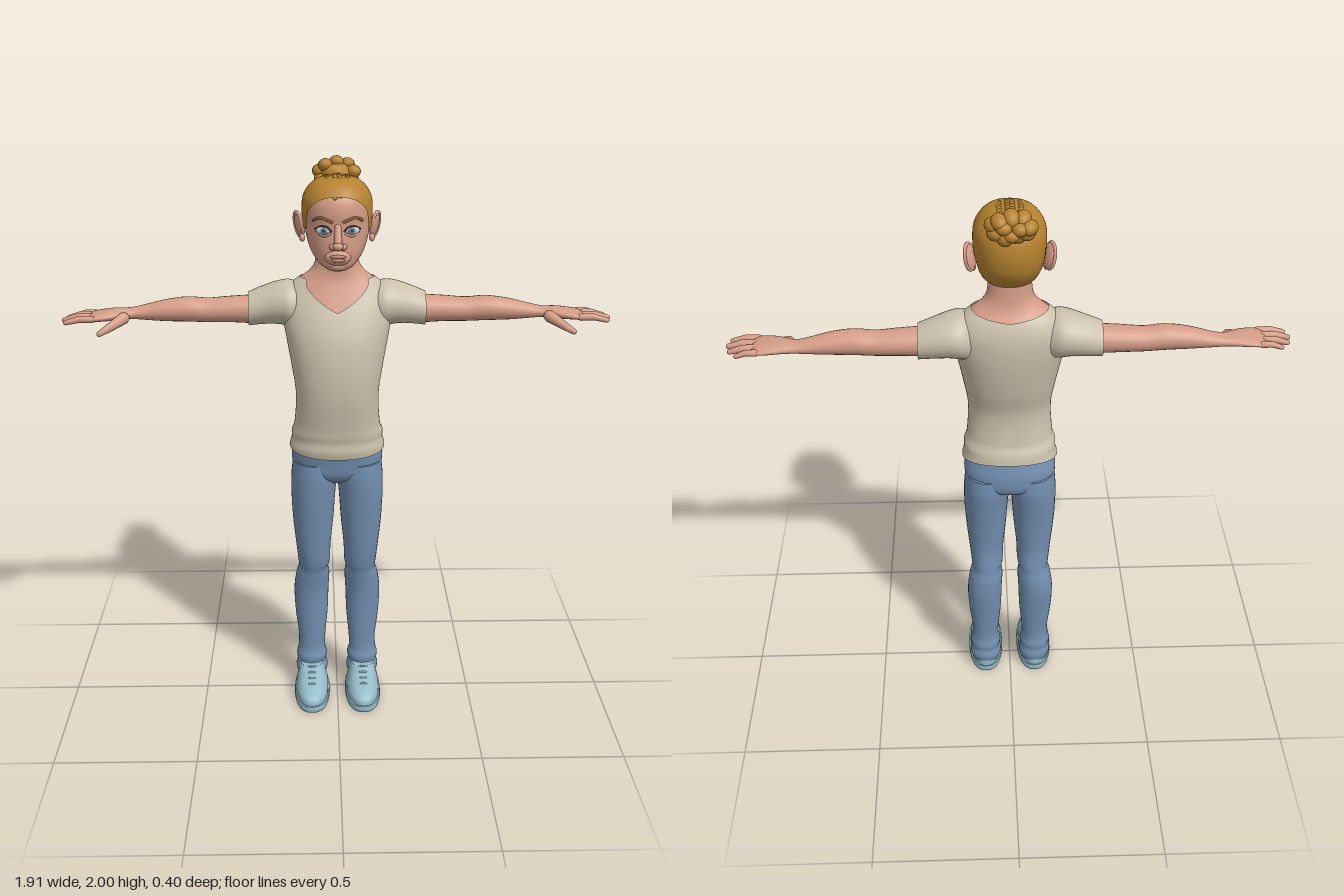
import * as THREE from 'three';
import { mergeGeometries } from 'three/addons/utils/BufferGeometryUtils.js';

const V = (x, y, z) => new THREE.Vector3(x, y, z);
const colour = (name, hex, open) => {
  const m = new THREE.MeshStandardMaterial({ color: hex });
  m.name = name;
  if (open) m.side = THREE.DoubleSide;
  return m;
};

// Smoothly interpolates rows [t, uMin, uMax, vMin, vMax]
function sample(rows, t) {
  const last = rows.length - 1;
  t = Math.min(Math.max(t, rows[0][0]), rows[last][0]);
  let i = 0;
  while (i < last - 1 && t > rows[i + 1][0]) i++;
  const h = rows[i + 1][0] - rows[i][0], s = (t - rows[i][0]) / h;
  const slope = (k, c) => {
    const p = rows[Math.max(k - 1, 0)], q = rows[Math.min(k + 1, last)];
    return (q[c] - p[c]) / (q[0] - p[0]);
  };
  return [1, 2, 3, 4].map((c) =>
    (1 + 2 * s) * (1 - s) ** 2 * rows[i][c] + s * (1 - s) ** 2 * h * slope(i, c) +
    s * s * (3 - 2 * s) * rows[i + 1][c] + s * s * (s - 1) * h * slope(i + 1, c));
}

// Superellipse sections along y (u = x, v = z) or along x (u = z, v = y)
function loft(axis, rows, { lo, hi, pad = 0, n = 32, m = 40, e = 2, cap = true } = {}) {
  const pos = [], idx = [];
  const put = (t, u, v) => (axis === 'y' ? pos.push(u, t, v) : pos.push(t, v, u));
  const power = (w) => Math.sign(w) * Math.abs(w) ** (2 / e);
  const t0 = rows[0][0], t1 = rows[rows.length - 1][0];
  const ring = (j) => {
    for (let i = 0; i < n; i++) {
      const a = (i / n) * Math.PI * 2;
      const from = lo ? lo(a) : t0, to = hi ? hi(a) : t1;
      const t = from + ((to - from) * j) / m;
      const [u0, u1, v0, v1] = sample(rows, t);
      put(t, (u0 + u1) / 2 + ((u1 - u0) / 2 + pad) * power(Math.cos(a)),
        (v0 + v1) / 2 + ((v1 - v0) / 2 + pad) * power(Math.sin(a)));
    }
  };
  for (let j = 0; j <= m; j++) ring(j);
  for (let j = 0; j < m; j++) for (let i = 0; i < n; i++) {
    const a = j * n + i, b = j * n + ((i + 1) % n);
    idx.push(a, a + n, b, b, a + n, b + n);
  }
  if (cap) for (const j of [0, m]) {
    const base = pos.length / 3, t = j ? t1 : t0, [u0, u1, v0, v1] = sample(rows, t);
    ring(j);
    put(t, (u0 + u1) / 2, (v0 + v1) / 2);
    for (let i = 0; i < n; i++) {
      const a = base + i, b = base + ((i + 1) % n);
      idx.push(base + n, j ? b : a, j ? a : b);
    }
  }
  const g = new THREE.BufferGeometry();
  g.setAttribute('position', new THREE.Float32BufferAttribute(pos, 3));
  g.setIndex(idx);
  g.computeVertexNormals();
  return g;
}

const ball = (p, sx, sy, sz, q, w = 14, h = 10) => {
  const g = new THREE.SphereGeometry(1, w, h).scale(sx, sy, sz);
  if (q) g.applyQuaternion(q);
  return g.translate(p.x, p.y, p.z);
};
const turn = (from, dir) => new THREE.Quaternion().setFromUnitVectors(from, dir.clone().normalize());

// Tapered round-ended rod
function limb(a, b, r1, r2) {
  const d = b.clone().sub(a), L = d.length();
  const pts = [[0, -r1], [0.7 * r1, -0.7 * r1], [r1, 0], [r2, L], [0.7 * r2, L + 0.7 * r2], [0, L + r2]];
  return new THREE.LatheGeometry(pts.map((p) => new THREE.Vector2(...p)), 12)
    .applyQuaternion(turn(V(0, 1, 0), d)).translate(a.x, a.y, a.z);
}
const tube = (pts, r) => new THREE.TubeGeometry(new THREE.CatmullRomCurve3(pts), 14, r, 6);

function mirrored(g) {
  const r = g.clone().scale(-1, 1, 1), ix = r.index;
  for (let i = 0; i < ix.count; i += 3) {
    const k = ix.getX(i);
    ix.setX(i, ix.getX(i + 2));
    ix.setX(i + 2, k);
  }
  return r;
}

// Rows for symmetric body parts: [y, half width, back z, front z]
const sym = (rows) => rows.map(([y, w, b, f]) => [y, -w, w, b, f]);
const HEAD = sym([[1.652, 0.03, 0.045, 0.11], [1.665, 0.052, 0.015, 0.126], [1.69, 0.078, -0.06, 0.131],
  [1.72, 0.094, -0.1, 0.133], [1.76, 0.106, -0.13, 0.132], [1.8, 0.112, -0.142, 0.127], [1.84, 0.114, -0.145, 0.13],
  [1.88, 0.111, -0.138, 0.124], [1.91, 0.097, -0.12, 0.107], [1.935, 0.073, -0.09, 0.08], [1.948, 0.045, -0.055, 0.045],
  [1.953, 0.01, -0.012, 0.008]]);
const TORSO = sym([[0.965, 0.163, -0.118, 0.104], [1.0, 0.17, -0.126, 0.112], [1.03, 0.162, -0.124, 0.109],
  [1.055, 0.163, -0.118, 0.114], [1.08, 0.153, -0.106, 0.117], [1.2, 0.146, -0.095, 0.135], [1.3, 0.16, -0.118, 0.136],
  [1.4, 0.178, -0.136, 0.122], [1.47, 0.19, -0.142, 0.098], [1.53, 0.192, -0.138, 0.07], [1.58, 0.16, -0.122, 0.047],
  [1.605, 0.128, -0.106, 0.037], [1.63, 0.1, -0.096, 0.033]]);
const E = 2.2;
const faceZ = (x, y) => {
  const [, w, b, f] = sample(HEAD, y);
  return (b + f) / 2 + ((f - b) / 2) * (1 - (Math.abs(x) / w) ** E) ** (1 / E);
};

// Hairline height against sin(angle): -1 nape, 0 ear, 1 forehead
const LINE = [[-1, 1.7], [-0.45, 1.715], [-0.3, 1.79], [0.1, 1.82], [0.2, 1.785], [0.5, 1.79], [0.6, 1.85], [0.85, 1.885], [1, 1.9]];
const hairline = (a) => {
  const s = Math.sin(a);
  let i = 0;
  while (i < LINE.length - 2 && s > LINE[i + 1][0]) i++;
  const [p, q] = [LINE[i], LINE[i + 1]];
  return p[1] + ((q[1] - p[1]) * (s - p[0])) / (q[0] - p[0]);
};

export function createModel() {
  const root = new THREE.Group();
  const skin = colour('skin', 0xd49c86), lip = colour('lips', 0xb97c6c), hair = colour('hair', 0xb5822f, true);
  const brow = colour('brows', 0x8a5f3c), shirt = colour('shirt', 0xcbc1ac, true), denim = colour('denim', 0x728fb0);
  const shoe = colour('shoe', 0x95bcc9), white = colour('eyeWhite', 0xcfd6d8), iris = colour('iris', 0x6d8ea3);
  const dark = colour('dark', 0x34302f);
  const add = (name, g, mat) => {
    const mesh = new THREE.Mesh(g, mat);
    mesh.name = name;
    root.add(mesh);
  };
  const pair = (name, g, mat) => {
    add(name + 'Left', g, mat);
    add(name + 'Right', mirrored(g), mat);
  };

  // Shirt with V neck, hem lower at the front
  const hem = (a) => 0.995 - 0.022 * Math.sin(a);
  const neckline = (a) => {
    const c = Math.abs(Math.cos(a));
    return Math.sin(a) > 0 ? 1.5 + 0.105 * Math.min(1, c / 0.8) : 1.605 - 0.02 * (1 - c);
  };
  add('shirt', loft('y', TORSO, { lo: hem, hi: neckline, n: 64, m: 48, e: 2.25, cap: false }), shirt);
  pair('sleeve', loft('x', [[0.12, -0.11, 0.04, 1.42, 1.575], [0.16, -0.134, 0.054, 1.425, 1.59],
    [0.2, -0.138, 0.046, 1.434, 1.586], [0.26, -0.128, 0.028, 1.433, 1.566], [0.308, -0.116, 0.02, 1.428, 1.546]], { m: 20 }), shirt);

  // Chest and neck
  add('neck', loft('y', sym([[1.44, 0.176, -0.132, 0.102], [1.47, 0.184, -0.136, 0.092], [1.53, 0.186, -0.132, 0.064],
    [1.58, 0.154, -0.116, 0.041], [1.605, 0.122, -0.1, 0.032], [1.63, 0.092, -0.09, 0.029], [1.66, 0.076, -0.085, 0.029],
    [1.74, 0.072, -0.08, 0.03]]), { n: 64, e: 2.15 }), skin);

  // Arms and hands
  pair('arm', loft('x', [[0.25, -0.1, 0.01, 1.44, 1.535], [0.3, -0.1, 0.008, 1.437, 1.535], [0.38, -0.1, 0.004, 1.44, 1.53],
    [0.45, -0.095, 0, 1.44, 1.525], [0.52, -0.093, 0.002, 1.443, 1.53], [0.6, -0.088, -0.002, 1.445, 1.52],
    [0.68, -0.082, -0.013, 1.45, 1.5], [0.72, -0.08, -0.012, 1.453, 1.492], [0.77, -0.085, 0.012, 1.452, 1.492],
    [0.82, -0.09, 0.03, 1.452, 1.486], [0.85, -0.087, 0.031, 1.453, 1.48], [0.862, -0.08, 0.025, 1.458, 1.474]], { n: 24 }), skin);
  const digits = [[0.845, -0.076, 0.913, -0.08, 0.0105], [0.85, -0.045, 0.937, -0.049, 0.012],
    [0.85, -0.012, 0.946, -0.013, 0.0125], [0.845, 0.019, 0.936, 0.024, 0.012]];
  pair('fingers', mergeGeometries(digits.flatMap(([x0, z0, x1, z1, r]) => {
    const mid = V((x0 + x1) / 2, 1.468, (z0 + z1) / 2);
    return [limb(V(x0, 1.467, z0), mid, r + 0.001, r), limb(mid, V(x1, 1.457, z1), r, r * 0.75)];
  })), skin);
  pair('thumb', mergeGeometries([limb(V(0.74, 1.465, -0.005), V(0.785, 1.442, 0.036), 0.021, 0.015),
    limb(V(0.785, 1.442, 0.036), V(0.818, 1.424, 0.053), 0.015, 0.01)]), skin);

  // Jeans
  add('jeansHips', loft('y', sym([[0.86, 0.09, -0.08, 0.04], [0.89, 0.146, -0.122, 0.078], [0.95, 0.164, -0.131, 0.092],
    [1.0, 0.157, -0.122, 0.1], [1.04, 0.148, -0.112, 0.1]]), { n: 48, m: 16, e: 2.3 }), denim);
  pair('jeansLeg', loft('y', [[0.045, 0.042, 0.15, -0.104, 0.01], [0.075, 0.036, 0.157, -0.11, 0.02],
    [0.1, 0.045, 0.15, -0.102, 0.009], [0.12, 0.038, 0.155, -0.106, 0.014], [0.15, 0.046, 0.148, -0.099, 0.006],
    [0.2, 0.045, 0.146, -0.1, 0.005], [0.3, 0.036, 0.157, -0.11, 0.009], [0.4, 0.032, 0.161, -0.121, 0.015],
    [0.47, 0.029, 0.152, -0.119, 0.027], [0.5, 0.034, 0.142, -0.112, 0.033], [0.52, 0.028, 0.144, -0.11, 0.041],
    [0.6, 0.024, 0.152, -0.101, 0.056], [0.7, 0.014, 0.162, -0.108, 0.068], [0.8, 0.007, 0.167, -0.12, 0.08],
    [0.88, 0, 0.166, -0.13, 0.087], [0.94, 0, 0.16, -0.126, 0.086]], { m: 80, e: 2.15 }), denim);

  // Shoes with a wider sole and laces
  pair('shoeSole', loft('y', [[0, 0.032, 0.16, -0.108, 0.198], [0.012, 0.029, 0.163, -0.111, 0.201],
    [0.024, 0.031, 0.161, -0.109, 0.199]], { m: 4, e: 2.4 }), shoe);
  pair('shoeUpper', loft('y', [[0.02, 0.035, 0.157, -0.105, 0.194], [0.045, 0.036, 0.156, -0.106, 0.187],
    [0.065, 0.043, 0.15, -0.106, 0.155], [0.085, 0.05, 0.144, -0.103, 0.095], [0.102, 0.054, 0.14, -0.1, 0.045]], { m: 20, e: 2.3 }), shoe);
  pair('laces', mergeGeometries([0, 1, 2, 3].map((k) => {
    const y = 0.104 - k * 0.009, z = 0.035 + k * 0.027;
    return tube([V(0.066, y - 0.012, z), V(0.097, y, z + 0.004), V(0.128, y - 0.012, z)], 0.004);
  })), shoe);

  // Head, nose, mouth
  add('head', loft('y', HEAD, { n: 48, m: 48, e: E }), skin);
  add('nose', mergeGeometries([limb(V(0, 1.805, 0.122), V(0, 1.748, 0.146), 0.011, 0.014),
    ball(V(0, 1.743, 0.147), 0.018, 0.015, 0.019), ball(V(0.018, 1.739, 0.136), 0.012, 0.011, 0.014),
    ball(V(-0.018, 1.739, 0.136), 0.012, 0.011, 0.014)].map((g) => g.toNonIndexed())), skin);
  add('muzzle', ball(V(0, 1.702, 0.118), 0.045, 0.03, 0.026), skin);
  add('lips', mergeGeometries([ball(V(0, 1.707, 0.141), 0.027, 0.0065, 0.009), ball(V(0, 1.695, 0.14), 0.023, 0.0075, 0.009)]), lip);
  add('chin', ball(V(0, 1.671, 0.11), 0.032, 0.018, 0.02), skin);

  // Eyes, lids and brows
  const ex = 0.047, ey = 1.79, ez = faceZ(ex, ey);
  const arc = (list, out) => list.map(([x, y]) => V(x, y, faceZ(x, y) + out));
  const yaw = turn(V(0, 0, 1), V(0.25, 0, 1));
  pair('eye', ball(V(ex, ey, ez - 0.005), 0.026, 0.016, 0.012, yaw), white);
  pair('iris', ball(V(ex, ey, ez + 0.005), 0.012, 0.012, 0.003, yaw), iris);
  pair('pupil', ball(V(ex, ey, ez + 0.0075), 0.005, 0.005, 0.0015, yaw), dark);
  pair('lashes', tube(arc([[0.02, 1.787], [0.034, 1.802], [0.055, 1.804], [0.075, 1.793]], 0.003), 0.003), dark);
  pair('lowerLid', tube(arc([[0.022, 1.784], [0.038, 1.774], [0.055, 1.774], [0.074, 1.79]], 0.001), 0.004), skin);
  pair('brow', tube(arc([[0.016, 1.818], [0.035, 1.826], [0.058, 1.832], [0.082, 1.82]], 0), 0.005), brow);

  // Ears: shell, rim and lobe
  const earTurn = new THREE.Quaternion().setFromEuler(new THREE.Euler(0.1, -0.55, -0.15));
  const rim = new THREE.TorusGeometry(1, 0.17, 8, 24).rotateY(Math.PI / 2).scale(0.035, 0.043, 0.026)
    .applyQuaternion(earTurn).translate(0.131, 1.785, -0.028);
  pair('ear', mergeGeometries([ball(V(0.127, 1.783, -0.027), 0.011, 0.045, 0.027, earTurn), rim,
    ball(V(0.119, 1.742, -0.014), 0.01, 0.014, 0.012)]), skin);

  // Close-cropped hair and braids running back to the bun
  add('shortHair', loft('y', HEAD, { lo: hairline, hi: () => 1.953, pad: 0.006, n: 96, m: 36, e: E, cap: false }), hair);
  const beads = [], rad = Math.PI / 180;
  for (let k = -3; k <= 3; k++) {
    const phi = k * 23 * rad, start = 24 + Math.abs(k) * 8, steps = 15;
    const at = (s) => {
      const th = (start + (152 - start) * s) * rad;
      return V(0.105 * Math.sin(phi) * Math.sin(th), 1.866 + 0.082 * Math.cos(phi) * Math.sin(th), -0.008 + 0.128 * Math.cos(th));
    };
    for (let i = 0; i < steps; i++) for (const side of [-1, 1]) {
      const s = (i + (side > 0 ? 0.5 : 0)) / steps, p = at(s), d = at(s + 0.01).sub(p).normalize();
      const across = V(Math.cos(phi), -Math.sin(phi), 0);
      p.addScaledVector(across, side * 0.007);
      beads.push(ball(p, 0.01, 0.011, 0.016, turn(V(0, 0, 1), d.addScaledVector(across, -side * 0.5)), 8, 6));
    }
  }
  add('braids', mergeGeometries(beads), hair);

  // Bun of coiled braid lumps
  const knots = [ball(V(0, 1.94, -0.14), 0.055, 0.038, 0.045)];
  for (let i = 0; i < 9; i++) {
    const a = (i / 9) * Math.PI * 2 + Math.PI / 2;
    const p = V(0.057 * Math.cos(a), 1.94 + 0.034 * Math.sin(a), -0.15 + 0.012 * Math.cos(3 * a));
    knots.push(ball(p, 0.027, 0.024, 0.034, turn(V(0, 0, 1), V(Math.cos(a) * 0.5, Math.sin(a) * 0.5, 1))));
  }
  for (const [x, y] of [[-0.026, 1.945], [0.024, 1.95], [0, 1.925]]) knots.push(ball(V(x, y, -0.176), 0.026, 0.021, 0.023));
  add('bun', mergeGeometries(knots), hair);
  return root;
}
